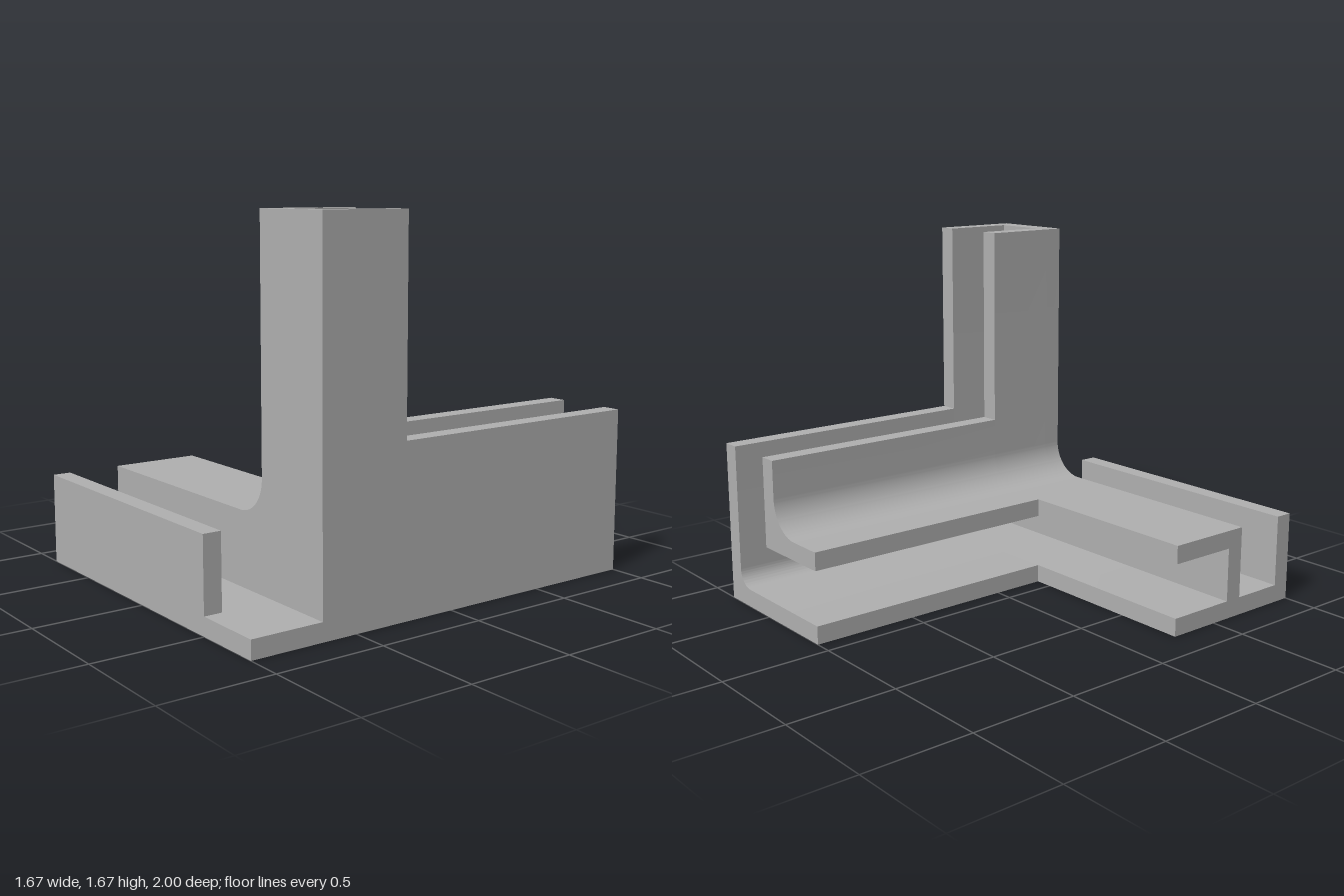
import * as THREE from 'three';
import { toCreasedNormals } from 'three/addons/utils/BufferGeometryUtils.js';

const T = 0.0833;                       // sheet thickness
const X = 0.8333, Y = 1.6667;           // half width and column height
const SHELF = 0.4167, LOW = 0.75;       // shelf top and rear wall top
const IN = 0.4167;                      // left face of the column
const Z_CORNER = 0.25, Z_WALL = 0.5833; // inner corner of the L, back of front wall
const R = 0.16, r = 0.08;               // fillet radii

export function createModel() {
  const group = new THREE.Group();
  const grey = new THREE.MeshStandardMaterial({ color: 0xb0b0b0 });
  grey.name = 'grey';

  const add = (name, geometry) => {
    const mesh = new THREE.Mesh(geometry, grey);
    mesh.name = name;
    group.add(mesh);
    return mesh;
  };
  const extrude = (name, shape, z0, z1) => {
    const g = new THREE.ExtrudeGeometry(shape, { depth: z1 - z0, bevelEnabled: false, curveSegments: 16 });
    g.translate(0, 0, z0);
    add(name, toCreasedNormals(g, 0.5));
  };
  const box = (name, x0, x1, y0, y1, z0, z1) => {
    add(name, new THREE.BoxGeometry(x1 - x0, y1 - y0, z1 - z0))
      .position.set((x0 + x1) / 2, (y0 + y1) / 2, (z0 + z1) / 2);
  };

  // Shelf that sweeps up into a wall; "right" and "bottom" bound the far side
  const innerProfile = (left, right, bottom, top) => {
    const s = new THREE.Shape();
    s.moveTo(left, bottom);
    s.lineTo(right, bottom);
    s.lineTo(right, top);
    s.lineTo(IN, top);
    s.lineTo(IN, SHELF + R);
    s.absarc(IN - R, SHELF + R, R, 0, -Math.PI / 2, true);
    s.lineTo(left, SHELF);
    s.closePath();
    return s;
  };

  // Floor that turns up into the outer wall
  const outerProfile = (left, top) => {
    const s = new THREE.Shape();
    s.moveTo(left, 0);
    s.lineTo(X, 0);
    s.lineTo(X, top);
    s.lineTo(X - T, top);
    s.lineTo(X - T, T + r);
    s.absarc(X - T - r, T + r, r, 0, -Math.PI / 2, true);
    s.lineTo(left, T);
    s.closePath();
    return s;
  };

  // Rear arm, then the corner section carrying the column
  const sections = [
    ['rear', T, LOW, -1, Z_CORNER],
    ['corner', -X, Y, Z_CORNER, Z_WALL],
  ];
  for (const [name, left, top, z0, z1] of sections) {
    extrude(name + 'InnerShelf', innerProfile(left, IN + T, SHELF - T, top), z0, z1);
    extrude(name + 'OuterWall', outerProfile(left, top), z0, z1);
  }

  // Front wall closing the channel, floor strip and lip
  extrude('frontWall', innerProfile(-X, X, T, Y), Z_WALL, Z_WALL + T);
  box('frontFloor', -X, X, 0, T, Z_WALL, 1);
  box('frontLip', -X, IN + T, T, SHELF, 1 - T, 1);

  return group;
}
